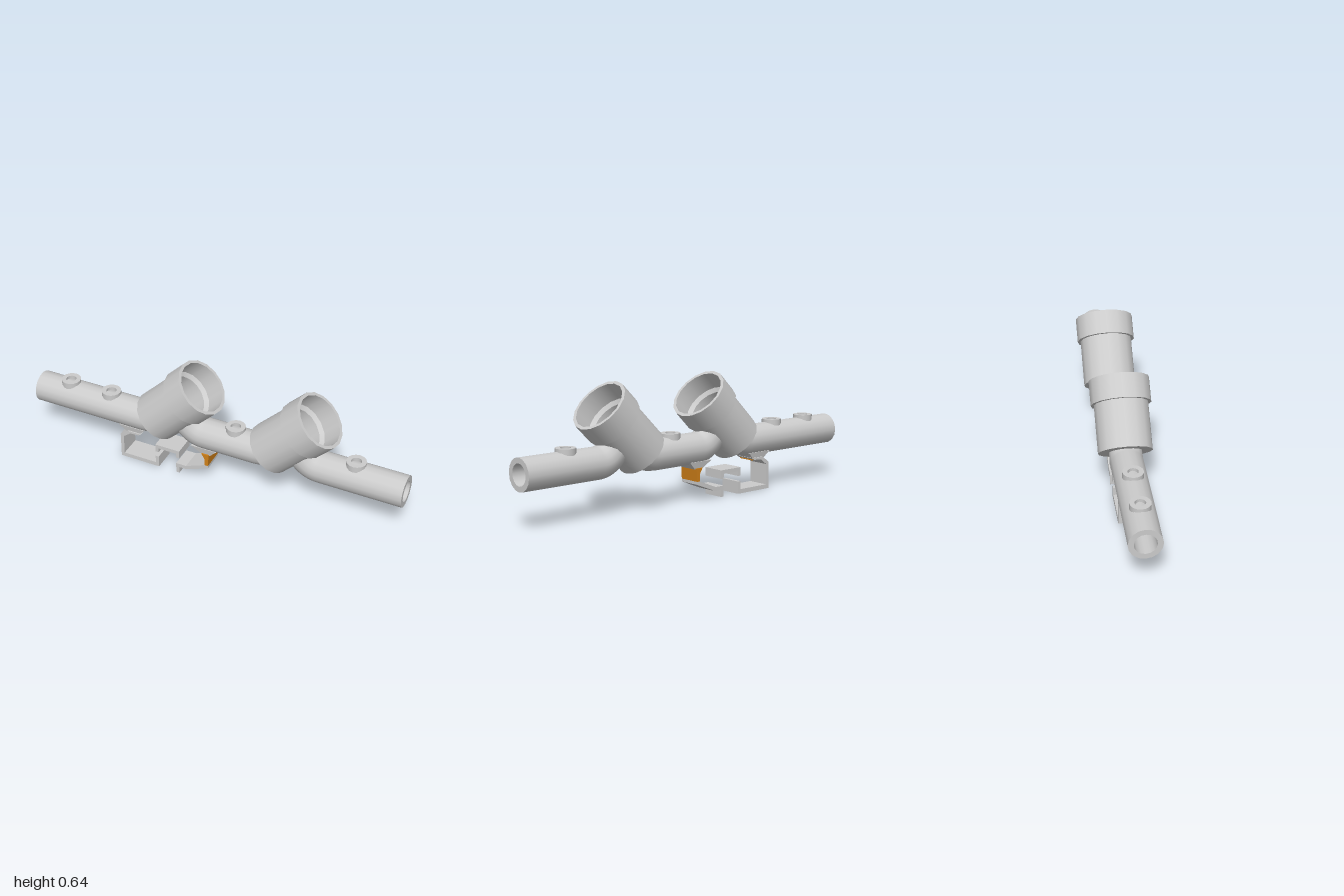
import * as THREE from 'three';
import { ParametricGeometry } from 'three/addons/geometries/ParametricGeometry.js';

const grey = new THREE.MeshStandardMaterial({ color: 0xcccccc, side: THREE.DoubleSide });
const orange = new THREE.MeshStandardMaterial({ color: 0xd08018, side: THREE.DoubleSide });
const SIDES = 16, AXIS = 0.26, OUTER = 0.08, BORE = 0.053;
const PITCH = 0.62, SEAT = 0.145; // valve spacing, height of the outlet on the valve axis
const v3 = (x, y, z = 0) => new THREE.Vector3(x, y, z);

function add(parent, name, geometry, material = grey) {
  const mesh = new THREE.Mesh(geometry, material);
  mesh.name = name;
  parent.add(mesh);
  return mesh;
}

// Turned surface with a crisp edge at every profile point
function turned(parent, name, profile, start = 0, length = Math.PI * 2, sides = SIDES) {
  for (let i = 0; i < profile.length - 1; i++) {
    const pts = [profile[i], profile[i + 1]].map(([r, y]) => new THREE.Vector2(r, y));
    add(parent, name, new THREE.LatheGeometry(pts, sides, start, length));
  }
}

// Quarter of a cylinder wall facing +x, pierced by a round hole
function piercedWall(radius, low, high, hole) {
  return new ParametricGeometry((u, v, target) => {
    const a = u * Math.PI * 2, c = Math.cos(a), s = Math.sin(a);
    const k = 1 / Math.max(Math.abs(c), Math.abs(s));
    const theta = THREE.MathUtils.lerp(Math.asin(hole * c / radius), k * c * Math.PI / 4, v);
    const edge = k * s * (s > 0 ? high - SEAT : SEAT - low);
    const y = SEAT + THREE.MathUtils.lerp(hole * s, edge, v);
    target.set(radius * Math.cos(theta), y, radius * Math.sin(theta));
  }, 32, 5);
}

// Angled valve body with a wide open socket
function valve(x) {
  const g = new THREE.Group();
  g.name = 'valveBody';
  turned(g, 'bodyBase', [[0.07, 0], [0.132, 0]]);
  turned(g, 'socketCollar', [[0.132, 0.234], [0.147, 0.234], [0.147, 0.355],
    [0.131, 0.355], [0.131, 0.25], [0.112, 0.234]]);
  turned(g, 'cavityFloor', [[0.112, 0.03], [BORE, 0.03]]);
  // Walls leave a quarter open for the outlet panel
  const start = Math.PI * 0.75, sweep = Math.PI * 1.5;
  turned(g, 'bodyWall', [[0.132, 0], [0.132, 0.234]], start, sweep, 12);
  turned(g, 'cavityWall', [[0.112, 0.234], [0.112, 0.03]], start, sweep, 12);
  add(g, 'outletPanel', piercedWall(0.132, 0, 0.234, 0.07));
  add(g, 'cavityOutletPanel', piercedWall(0.112, 0.03, 0.234, BORE));
  g.position.set(x, 0.281, 0);
  g.rotation.z = -Math.PI / 4;
  return g;
}

// Hollow pipe; an end at a valve turns up by 45 degrees
function pipe(from, to, bendFrom, bendTo) {
  const path = new THREE.CurvePath();
  const b = 0.05, d = b * Math.SQRT1_2;
  let a = v3(from, AXIS), z = v3(to, AXIS);
  if (bendFrom) {
    a = v3(from + b, AXIS);
    const top = v3(from - d, AXIS + d);
    path.add(new THREE.LineCurve3(v3(from - 0.046, AXIS + 0.046), top));
    path.add(new THREE.QuadraticBezierCurve3(top, v3(from, AXIS), a));
  }
  if (bendTo) z = v3(to - b, AXIS);
  path.add(new THREE.LineCurve3(a, z));
  if (bendTo) path.add(new THREE.QuadraticBezierCurve3(z, v3(to, AXIS), v3(to + d, AXIS + d)));
  const g = new THREE.Group();
  g.name = 'pipe';
  add(g, 'pipeOuter', new THREE.TubeGeometry(path, 80, OUTER, SIDES));
  add(g, 'pipeBore', new THREE.TubeGeometry(path, 80, BORE, SIDES));
  return g;
}

// Flat outline extruded across the clip width
function strip(points, width = 0.116) {
  const shape = new THREE.Shape(points.map(([x, y]) => new THREE.Vector2(x, y)));
  return new THREE.ExtrudeGeometry(shape, { depth: width, bevelEnabled: false })
    .translate(0, 0, -width / 2);
}

// Saddle block that narrows towards its underside
function saddle(x0, x1, b0, b1) {
  const geo = new THREE.BoxGeometry(1, 1, 1), p = geo.attributes.position;
  for (let i = 0; i < p.count; i++) {
    const top = p.getY(i) > 0, right = p.getX(i) > 0;
    p.setXYZ(i, right ? (top ? x1 : b1) : (top ? x0 : b0), top ? 0.2 : 0.162,
      Math.sign(p.getZ(i)) * (top ? 0.057 : 0.05));
  }
  const flat = geo.toNonIndexed();
  flat.computeVertexNormals();
  return flat;
}

export function createModel() {
  const model = new THREE.Group();
  model.name = 'valveManifold';

  // Valves and the pipe runs joining them
  const inlet = -0.344, outlet = -0.097;
  for (const i of [0, 1]) model.add(valve(-0.323 + i * PITCH));
  model.add(pipe(-1, inlet, false, true));
  model.add(pipe(outlet, inlet + PITCH, true, true));
  model.add(pipe(outlet + PITCH, 1, true, false));
  for (const side of [-1, 1]) {
    const rim = add(model, 'pipeEnd', new THREE.RingGeometry(BORE, OUTER, SIDES));
    rim.rotation.y = side * Math.PI / 2;
    rim.position.set(side, AXIS, 0);
  }

  // Small threaded ports along the top
  for (const x of [-0.825, -0.588, 0.112, 0.743]) {
    const port = new THREE.Group();
    port.name = 'topPort';
    turned(port, 'portBoss', [[0.05, 0.3], [0.05, 0.354], [0.026, 0.354], [0.026, 0.325]]);
    port.position.x = x;
    model.add(port);
  }

  // Rail mounting clip
  const clip = new THREE.Group();
  clip.name = 'mountingClip';
  model.add(clip);
  add(clip, 'leftSaddle', saddle(-0.52, -0.375, -0.48, -0.41));
  add(clip, 'leftHook', strip([[-0.513, 0], [-0.294, 0], [-0.294, 0.064], [-0.312, 0.064],
    [-0.312, 0.022], [-0.495, 0.022], [-0.495, 0.13], [-0.455, 0.16], [-0.41, 0.162],
    [-0.395, 0.172], [-0.47, 0.172], [-0.513, 0.14]]));
  const pad = add(clip, 'leftPad', new THREE.BoxGeometry(0.05, 0.004, 0.09), orange);
  pad.position.set(-0.43, 0.16, 0);
  add(clip, 'rail', strip([[-0.312, 0.093], [-0.294, 0.093], [-0.294, 0.117], [-0.194, 0.117],
    [-0.194, 0.093], [-0.176, 0.093], [-0.176, 0.137], [-0.312, 0.137]]));
  add(clip, 'rightHook', strip([[-0.194, 0], [-0.176, 0], [-0.176, 0.037], [-0.134, 0.037],
    [-0.014, 0.085], [-0.014, 0.1], [-0.032, 0.1], [-0.138, 0.057], [-0.194, 0.057]]));
  add(clip, 'rightSaddle', saddle(-0.11, 0.03, -0.055, -0.006));
  add(clip, 'springTab', strip([[-0.032, 0.1], [-0.014, 0.1], [-0.01, 0.167],
    [-0.05, 0.167], [-0.034, 0.14]]), orange);
  return model;
}
